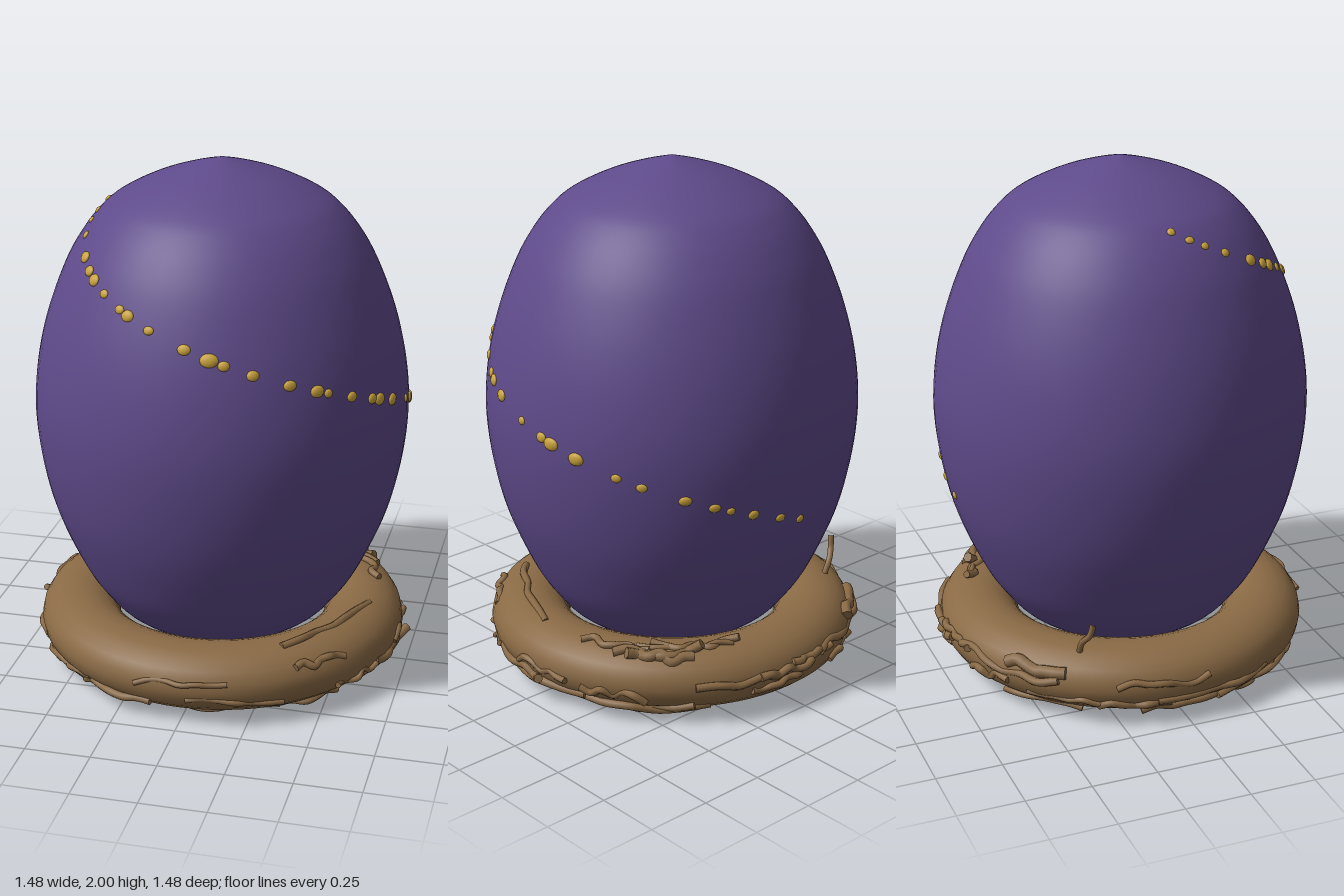
import * as THREE from 'three';

export function createModel() {
  const model = new THREE.Group();
  const purple = new THREE.MeshStandardMaterial({ name: 'purple shell', color: 0x5e4a8a });
  const gold = new THREE.MeshStandardMaterial({ name: 'gold', color: 0xc9a23a });
  const brown = new THREE.MeshStandardMaterial({ name: 'brown twig', color: 0x8a6a45 });

  let seed = 7;
  const rand = () => {
    seed = (seed * 16807) % 2147483647;
    return seed / 2147483647;
  };
  const add = (parent, name, geometry, material) => {
    const mesh = new THREE.Mesh(geometry, material);
    mesh.name = name;
    parent.add(mesh);
    return mesh;
  };

  // Egg: turned profile with a shallow pointed cap
  const profile = new THREE.SplineCurve([
    [0, 0.08], [0.26, 0.135], [0.4, 0.205], [0.49, 0.305], [0.56, 0.42], [0.645, 0.62],
    [0.695, 0.82], [0.717, 1.03], [0.703, 1.22], [0.66, 1.41], [0.588, 1.6], [0.52, 1.72],
    [0.45, 1.805], [0.38, 1.86], [0.26, 1.92], [0.13, 1.965], [0, 2],
  ].map(([r, y]) => new THREE.Vector2(r, y))).getPoints(80);
  profile.forEach((p) => { p.x = Math.max(p.x, 0); });
  add(model, 'egg', new THREE.LatheGeometry(profile, 72), purple);

  const eggRadius = (y) => {
    const i = profile.findIndex((p) => p.y >= y);
    const a = profile[i - 1], b = profile[i];
    return a.x + (b.x - a.x) * (y - a.y) / (b.y - a.y);
  };

  // Gold flecks: [height, size] along a falling three-quarter spiral
  const flecks = new THREE.Group();
  flecks.name = 'goldFlecks';
  model.add(flecks);
  const fleckGeometry = new THREE.SphereGeometry(1, 10, 8);
  const spiral = [
    [1.82, .017], [1.79, .016], [1.765, .016], [1.73, .018], [1.68, .025], [1.65, .023], [1.63, .026],
    [1.6, .018], [1.565, .018], [1.55, .024], [1.515, .018], [1.465, .022], [1.433, .029], [1.415, .021],
    [1.38, .022], [1.335, .022], [1.3, .025], [1.285, .018], [1.25, .021], [1.215, .022], [1.2, .025],
    [1.17, .025], [1.12, .018], [1.085, .022], [1.07, .028], [1.035, .028], [.985, .018], [.955, .019],
    [.905, .021], [.87, .019], [.85, .016], [.82, .021], [.78, .018], [.745, .018],
  ];
  for (const [y, size] of spiral) {
    const a = Math.PI - (1.82 - y) / 1.08 * Math.PI * 1.5 - 0.05;
    const r = eggRadius(y);
    const slope = (eggRadius(y - 0.02) - eggRadius(y + 0.02)) / 0.04;
    const fleck = add(flecks, 'fleck', fleckGeometry, gold);
    fleck.position.set(r * Math.cos(a), y, r * Math.sin(a));
    fleck.lookAt(fleck.position.clone().add(new THREE.Vector3(Math.cos(a), slope, Math.sin(a))));
    fleck.scale.set(size * (0.95 + rand() * 0.25), size * 0.88, size * 0.45);
  }

  // Nest: flattened ring
  const nest = new THREE.Group();
  nest.name = 'nest';
  model.add(nest);
  const R = 0.565, tubeR = 0.155, squash = 0.8, midY = 0.15;
  const ring = new THREE.TorusGeometry(R, tubeR, 20, 72);
  ring.rotateX(-Math.PI / 2).scale(1, squash, 1);
  add(nest, 'nestRing', ring, brown).position.y = midY;

  // A wavy twig hugging the ring, angles in degrees
  const ringPoint = (around, tilt, lift) => {
    const a = THREE.MathUtils.degToRad(around), t = THREE.MathUtils.degToRad(tilt);
    const d = R + (tubeR + lift) * Math.cos(t);
    const y = midY + (tubeR + lift) * squash * Math.sin(t);
    return new THREE.Vector3(d * Math.cos(a), Math.max(y, 0.016), d * Math.sin(a));
  };
  const addTwig = (start, span, tilt, radius, endLift = 0) => {
    const points = [];
    for (let i = 0; i <= 6; i++) {
      const end = i === 6 ? endLift : 0;
      points.push(ringPoint(start + span * i / 6, tilt + (rand() - 0.5) * 16, (rand() - 0.5) * 0.022 + end));
    }
    const curve = new THREE.CatmullRomCurve3(points);
    const twig = new THREE.Group();
    twig.name = 'twig';
    nest.add(twig);
    add(twig, 'twigStem', new THREE.TubeGeometry(curve, 28, radius, 7), brown);
    for (const [t, sign] of [[0, -1], [1, 1]]) {
      const cap = add(twig, 'twigEnd', new THREE.CircleGeometry(radius, 7), brown);
      cap.position.copy(curve.getPoint(t));
      cap.lookAt(cap.position.clone().addScaledVector(curve.getTangent(t), sign));
    }
  };

  // Placed twigs: [start, span, tilt, radius, lift of the last point]
  [
    [125, 45, -35, .014, .02], [150, 40, -20, .014], [165, 30, -45, .016, .02],
    [-20, 50, -35, .017], [-60, 50, -45, .016], [5, 50, 80, .015],
    [-15, -25, 75, .014], [-28, -30, 65, .02, .03], [-40, -32, 78, .015, .03], [-55, 22, 55, .022, .03],
    [-70, 35, 75, .012], [20, -25, -20, .018, .02], [35, 25, -60, .014], [55, 35, -80, .014],
    [100, 35, -85, .013], [-100, -40, 10, .016], [-122, -20, 25, .024], [-75, -20, 5, .016],
  ].forEach((twig) => addTwig(...twig));

  // Filler twigs, mostly sunk in the ring
  for (let i = 0; i < 22; i++) {
    addTwig(i * 360 / 22 + rand() * 12, 14 + rand() * 22, -110 + rand() * 150, 0.01 + rand() * 0.007);
  }

  // A stray twig rising behind the egg
  const stray = new THREE.CatmullRomCurve3([
    new THREE.Vector3(-0.5, 0.25, -0.36), new THREE.Vector3(-0.53, 0.31, -0.36),
    new THREE.Vector3(-0.56, 0.35, -0.34), new THREE.Vector3(-0.57, 0.4, -0.33),
  ]);
  add(nest, 'strayTwig', new THREE.TubeGeometry(stray, 12, 0.012, 7), brown);

  return model;
}
